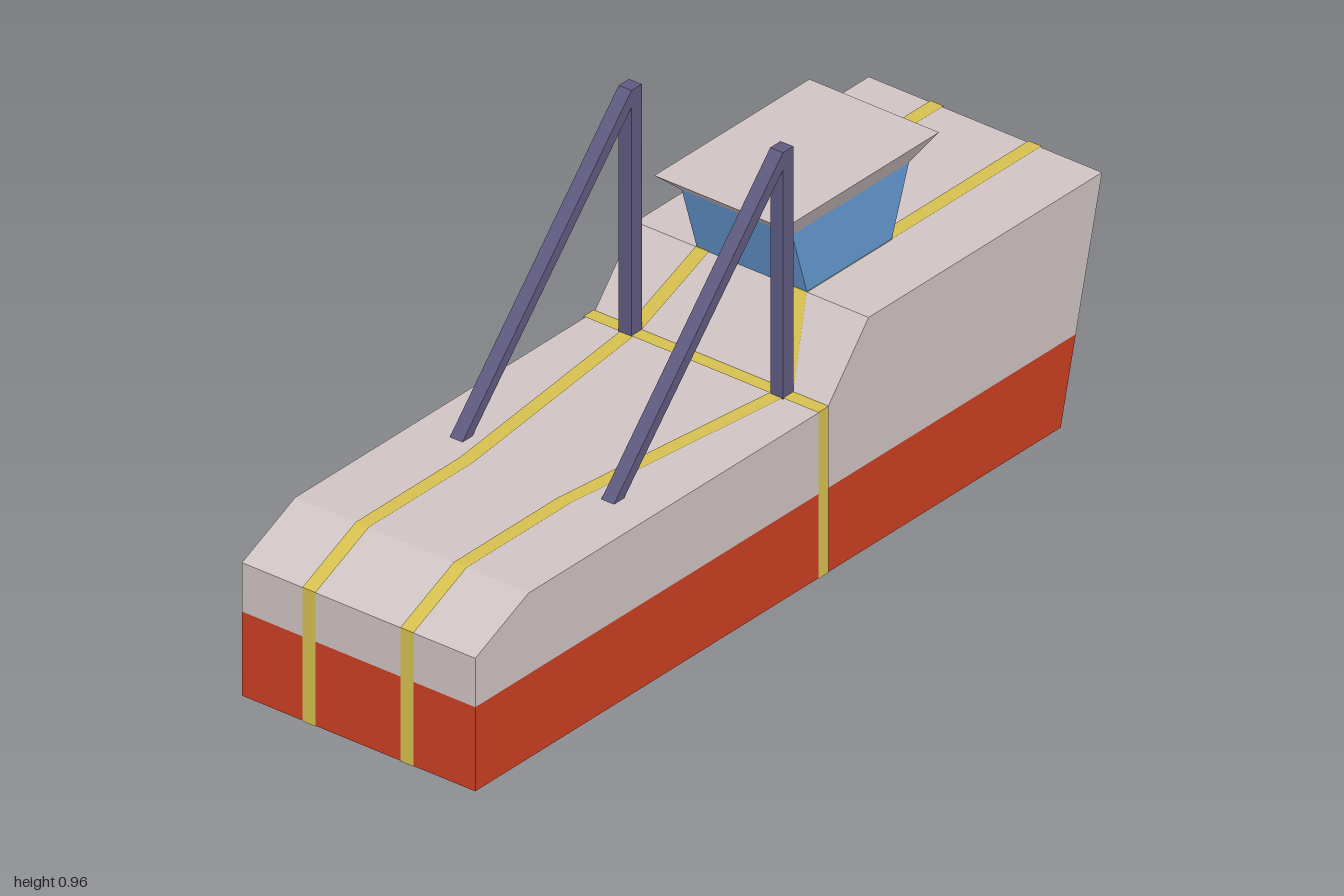
import * as THREE from 'three';

const material = (color, side = THREE.FrontSide) =>
  new THREE.MeshStandardMaterial({ color, side, flatShading: true });

const HULL = material(0xd0c3c3);
const RED = material(0xcc3f22);
const BLUE = material(0x6499d2);
const POST = material(0x5f5a80);
const YELLOW = material(0xd6c050, THREE.DoubleSide);

const HALF = 0.3025; // half width of the hull

function add(group, name, geometry, mat) {
  const mesh = new THREE.Mesh(geometry, mat);
  mesh.name = name;
  group.add(mesh);
  return mesh;
}

// Side profile given as [z, y] points, extruded across x
function sideExtrude(points, width, x = 0) {
  const shape = new THREE.Shape(points.map(([z, y]) => new THREE.Vector2(-z, y)));
  return new THREE.ExtrudeGeometry(shape, { depth: width, bevelEnabled: false })
    .translate(0, 0, -width / 2)
    .rotateY(Math.PI / 2)
    .translate(x, 0, 0);
}

// Box whose bottom and top rectangles differ; each is { y, x: halfWidth, z: [back, front] }
function frustum(bottom, top) {
  const geo = new THREE.BoxGeometry(1, 1, 1);
  const p = geo.attributes.position;
  for (let i = 0; i < p.count; i++) {
    const r = p.getY(i) > 0 ? top : bottom;
    p.setXYZ(i, Math.sign(p.getX(i)) * r.x, r.y, r.z[p.getZ(i) > 0 ? 1 : 0]);
  }
  geo.computeVertexNormals();
  return geo;
}

// Flat band along a path, spread by +-half
function ribbon(path, half) {
  const pos = [];
  for (let i = 0; i < path.length - 1; i++) {
    const p = path[i], q = path[i + 1];
    const a = p.clone().sub(half), b = p.clone().add(half);
    const c = q.clone().add(half), d = q.clone().sub(half);
    for (const v of [a, b, c, a, c, d]) pos.push(v.x, v.y, v.z);
  }
  const geo = new THREE.BufferGeometry();
  geo.setAttribute('position', new THREE.Float32BufferAttribute(pos, 3));
  geo.computeVertexNormals();
  return geo;
}

export function createModel() {
  const model = new THREE.Group();
  model.name = 'boat';

  // Hull: red lower part and pale upper part with raised stern
  add(model, 'lowerHull', sideExtrude(
    [[1, 0], [1, 0.196], [-0.916, 0.196], [-0.868, 0]], HALF * 2), RED);
  add(model, 'upperHull', sideExtrude(
    [[1, 0.196], [1, 0.31], [0.83, 0.385], [-0.125, 0.385], [-0.255, 0.535],
      [-1, 0.535], [-0.916, 0.196]], HALF * 2), HULL);

  // Cabin with flared ends and overhanging roof
  add(model, 'cabin', frustum(
    { y: 0.535, x: 0.143, z: [-0.525, -0.255] },
    { y: 0.69, x: 0.143, z: [-0.58, -0.207] }), BLUE);
  add(model, 'roof', frustum(
    { y: 0.69, x: 0.143, z: [-0.58, -0.207] },
    { y: 0.74, x: 0.168, z: [-0.645, -0.15] }), HULL);

  const e = 0.002; // lift of the stripes above the hull
  for (const s of [1, -1]) {
    const side = s > 0 ? 'left' : 'right';

    // Mast and its slanted brace
    add(model, side + 'Mast', sideExtrude(
      [[-0.092, 0.385], [-0.092, 0.96], [-0.125, 0.96], [-0.125, 0.385]], 0.033, s * 0.1965), POST);
    add(model, side + 'Brace', sideExtrude(
      [[0.447, 0.385], [0.415, 0.385], [-0.092, 0.92], [-0.092, 0.96]], 0.033, s * 0.1965), POST);

    // Lengthwise stripe from bow foot, over the deck, down the stern
    const path = [
      [0.127, 0, 1 + e], [0.127, 0.31 + e, 1 + e], [0.127, 0.385 + e, 0.83 + e],
      [0.127, 0.385 + e, 0.5], [0.197, 0.385 + e, -0.125 + e],
      [0.127, 0.535 + e, -0.255 + e], [0.127, 0.535 + e, -1 - e], [0.127, 0, -0.868 - e],
    ].map(([x, y, z]) => new THREE.Vector3(s * x, y, z));
    add(model, side + 'Stripe', ribbon(path, new THREE.Vector3(0.017, 0, 0)), YELLOW);
  }

  // Stripe across the deck and down both sides
  const w = HALF + e, h = 0.385 + e * 1.5;
  const across = [[-w, 0], [-w, h], [w, h], [w, 0]].map(([x, y]) => new THREE.Vector3(x, y, -0.1085));
  add(model, 'crossStripe', ribbon(across, new THREE.Vector3(0, 0, 0.0165)), YELLOW);

  return model;
}
